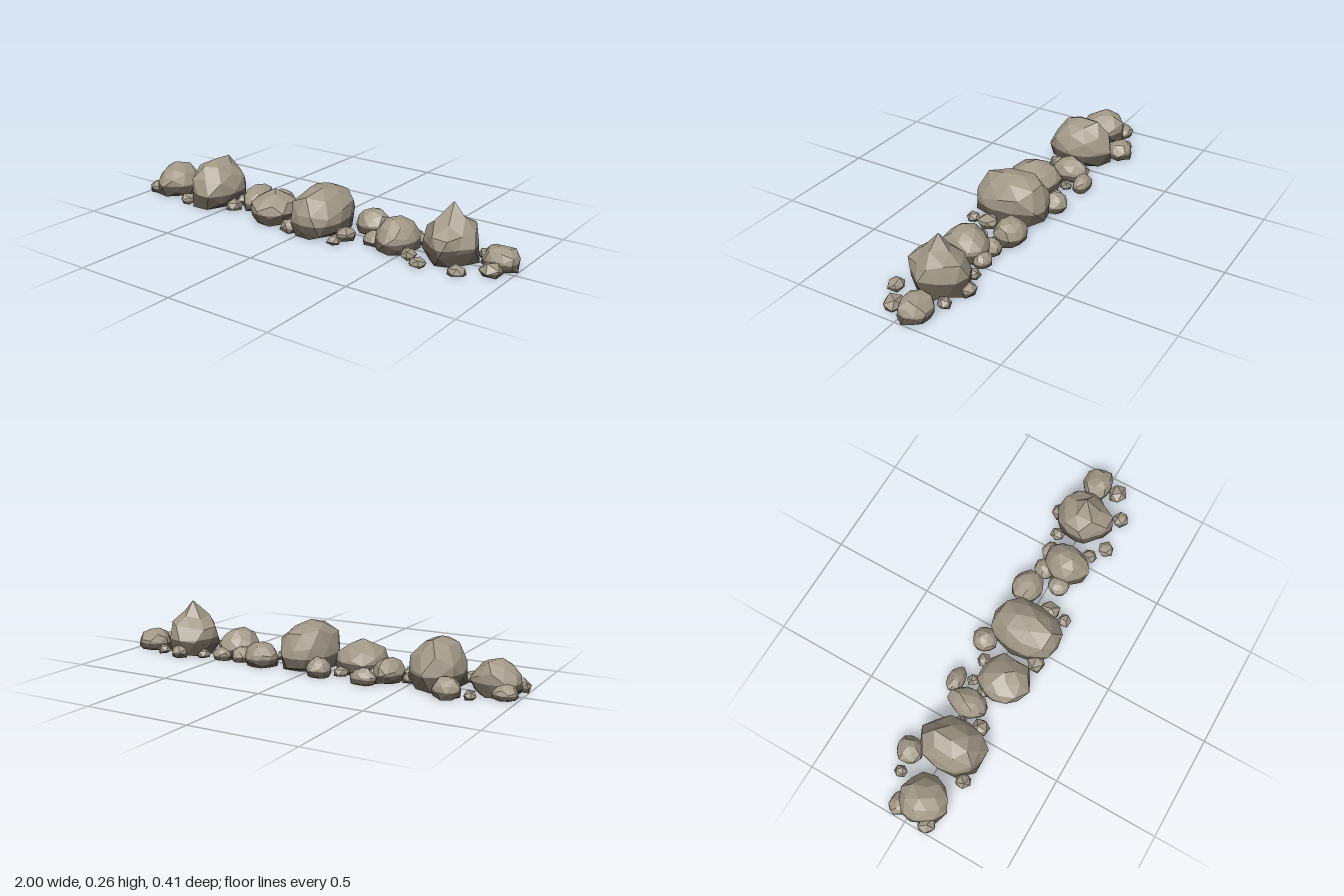
import * as THREE from 'three';
import { mergeVertices } from 'three/addons/utils/BufferGeometryUtils.js';

// Boulders and stones: [x0, x1, z0, z1, height, peak]
const BOULDERS = [
  [-0.99, -0.76, -0.08, 0.15, 0.155, 0],
  [-0.73, -0.48, -0.15, 0.17, 0.22, 0],
  [-0.33, -0.105, -0.06, 0.195, 0.155, 0.2],
  [-0.08, 0.17, -0.15, 0.2, 0.215, 0],
  [0.35, 0.54, -0.085, 0.145, 0.14, 0],
  [0.58, 0.825, -0.15, 0.135, 0.26, 0.9],
];
const STONES = [
  [0.83, 1, -0.12, 0.02, 0.1, 0],
  [0.17, 0.33, -0.155, -0.005, 0.11, 0],
  [-0.46, -0.32, -0.13, 0.065, 0.11, 0],
  [-0.14, -0.02, -0.185, -0.06, 0.09, 0],
  [-0.78, -0.65, -0.21, -0.085, 0.09, 0],
  [-1, -0.88, -0.105, 0, 0.065, 0],
  [-0.385, -0.25, -0.18, -0.1, 0.075, 0],
  [0.33, 0.43, -0.11, 0, 0.07, 0],
  [0.43, 0.525, -0.12, -0.04, 0.06, 0],
  [0.285, 0.385, -0.01, 0.095, 0.06, 0],
];
// Pebbles: [x, z, radius, height]
const PEBBLES = [
  [0.2, 0.07, 0.045, 0.06], [0.195, 0.155, 0.032, 0.04], [-0.17, -0.075, 0.034, 0.045],
  [-0.46, 0.075, 0.04, 0.055], [-0.71, 0.135, 0.038, 0.05], [-0.96, 0.095, 0.042, 0.06],
  [-0.815, -0.135, 0.03, 0.04], [0.69, -0.14, 0.04, 0.06], [0.58, -0.095, 0.032, 0.04],
  [0.81, -0.11, 0.03, 0.04], [0.55, 0.1, 0.035, 0.045], [0.625, 0.152, 0.04, 0.04],
  [0.805, 0.14, 0.04, 0.045], [0.92, 0.06, 0.047, 0.06], [-0.06, 0.14, 0.042, 0.06],
  [-0.3, 0, 0.032, 0.045], [-0.28, -0.07, 0.03, 0.04], [-0.49, -0.02, 0.035, 0.05],
];

function seeded(seed) {
  let s = seed * 7919 + 17;
  const next = () => (s = (s * 16807) % 2147483647) / 2147483647;
  for (let i = 0; i < 5; i++) next();
  return next;
}

// Keep the part of a polygon on one side of the height y (side = 1 above, -1 below)
function clip(poly, y, side) {
  const out = [];
  poly.forEach((a, i) => {
    const b = poly[(i + 1) % poly.length];
    const da = (a.y - y) * side, db = (b.y - y) * side;
    if (da >= 0) out.push(a);
    if (da * db < 0) out.push(a.clone().lerp(b, da / (da - db)));
  });
  return out;
}

// Irregular faceted rock with a flat underside, fitted to a box
function rockPoints(detail, seed, [x0, x1, z0, z1, h, peak]) {
  const rnd = seeded(seed);
  let geo = new THREE.IcosahedronGeometry(1, detail);
  geo.deleteAttribute('normal');
  geo.deleteAttribute('uv');
  geo = mergeVertices(geo, 1e-3);
  geo.applyMatrix4(new THREE.Matrix4().makeRotationFromEuler(
    new THREE.Euler(rnd() * 6, rnd() * 6, rnd() * 6)));
  const p = geo.attributes.position, v = new THREE.Vector3();
  let top = 0;
  for (let i = 0; i < p.count; i++) if (p.getY(i) > p.getY(top)) top = i;
  for (let i = 0; i < p.count; i++) {
    v.fromBufferAttribute(p, i).multiplyScalar(0.91 + rnd() * 0.18);
    if (peak && i === top) v.set(0, 1 + peak * 0.4, 0);
    if (v.y < -0.45) v.set(v.x * 1.08, -0.45, v.z * 1.08);
    p.setXYZ(i, v.x, v.y, v.z);
  }
  geo.computeBoundingBox();
  const b = geo.boundingBox, fit = THREE.MathUtils.mapLinear;
  for (let i = 0; i < p.count; i++) {
    p.setXYZ(i, fit(p.getX(i), b.min.x, b.max.x, x0, x1),
      fit(p.getY(i), b.min.y, b.max.y, 0, h),
      fit(p.getZ(i), b.min.z, b.max.z, z0, z1));
  }
  return geo;
}

// Split the rock at a height into a pale upper part and a dark base
function makeRock(name, detail, seed, box, materials) {
  const geo = rockPoints(detail, seed, box);
  const band = box[4] * (box[4] > 0.2 ? 0.31 : 0.36);
  const p = geo.attributes.position, index = geo.index;
  const out = new THREE.BufferGeometry(), coords = [];
  [1, -1].forEach((side, m) => {
    const start = coords.length / 3;
    for (let i = 0; i < index.count; i += 3) {
      const tri = [0, 1, 2].map(k => new THREE.Vector3().fromBufferAttribute(p, index.getX(i + k)));
      const poly = clip(tri, band, side);
      for (let k = 1; k + 1 < poly.length; k++)
        for (const q of [poly[0], poly[k], poly[k + 1]]) coords.push(q.x, q.y, q.z);
    }
    out.addGroup(start, coords.length / 3 - start, m);
  });
  out.setAttribute('position', new THREE.Float32BufferAttribute(coords, 3));
  out.computeVertexNormals();
  const mesh = new THREE.Mesh(out, materials);
  mesh.name = name;
  return mesh;
}

export function createModel() {
  const stone = new THREE.MeshStandardMaterial({ color: 0xa09786 });
  stone.name = 'paleStone';
  const base = new THREE.MeshStandardMaterial({ color: 0x5e574b });
  base.name = 'darkStoneBase';
  const materials = [stone, base];

  const group = new THREE.Group();
  group.name = 'rockRow';
  BOULDERS.forEach((b, i) => group.add(makeRock('boulder' + (i + 1), 1, i + 1, b, materials)));
  STONES.forEach((b, i) => group.add(makeRock('stone' + (i + 1), 1, i + 21, b, materials)));
  PEBBLES.forEach(([x, z, r, h], i) => group.add(
    makeRock('pebble' + (i + 1), 0, i + 51, [x - r, x + r, z - r, z + r, h, 0], materials)));
  return group;
}
